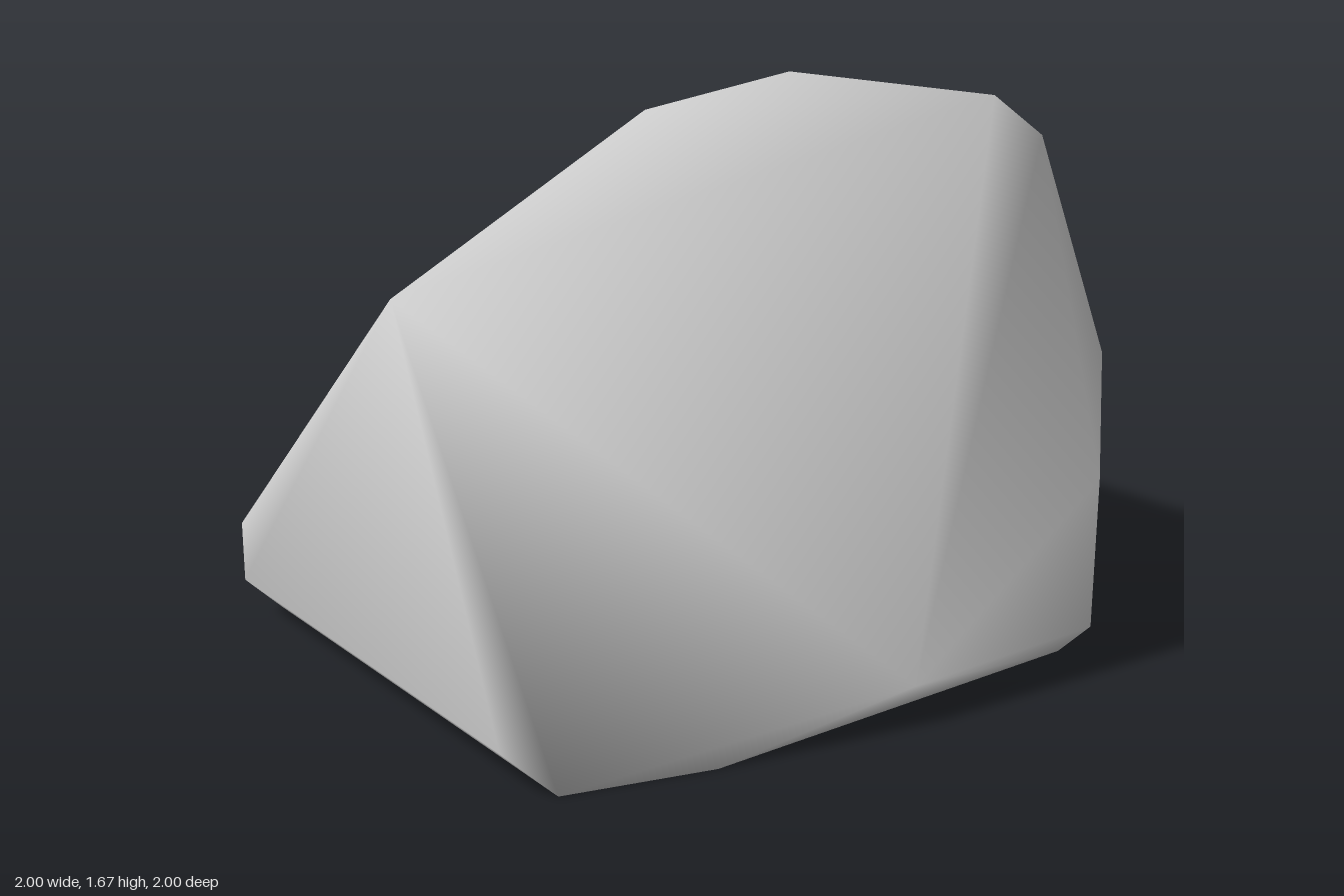
import * as THREE from 'three';
import { ConvexGeometry } from 'three/addons/geometries/ConvexGeometry.js';
import { mergeVertices } from 'three/addons/utils/BufferGeometryUtils.js';

const HALF = [1, 0.835, 1]; // half size of the block
const BEVEL = 0.12;

// Planes of a bevelled block: faces, edge chamfers and corner chamfers
function blockPlanes() {
  const planes = [];
  for (const x of [-1, 0, 1]) for (const y of [-1, 0, 1]) for (const z of [-1, 0, 1]) {
    const count = Math.abs(x) + Math.abs(y) + Math.abs(z);
    if (!count) continue;
    const reach = Math.abs(x) * HALF[0] + Math.abs(y) * HALF[1] + Math.abs(z) * HALF[2];
    planes.push({ n: new THREE.Vector3(x, y, z), d: reach + y * HALF[1] - BEVEL * (count - 1) });
  }
  return planes;
}

// Corner points of the solid enclosed by the planes (n . p <= d)
function solidCorners(planes) {
  const found = new Map();
  const m = new THREE.Matrix3();
  for (let i = 0; i < planes.length; i++)
    for (let j = i + 1; j < planes.length; j++)
      for (let k = j + 1; k < planes.length; k++) {
        const [a, b, c] = [planes[i], planes[j], planes[k]];
        m.set(a.n.x, a.n.y, a.n.z, b.n.x, b.n.y, b.n.z, c.n.x, c.n.y, c.n.z);
        if (Math.abs(m.determinant()) < 1e-6) continue;
        const p = new THREE.Vector3(a.d, b.d, c.d).applyMatrix3(m.invert());
        if (planes.some((q) => q.n.dot(p) > q.d + 1e-6)) continue;
        const key = p.toArray().map((v) => Math.round(v * 1e4)).join();
        if (!found.has(key)) found.set(key, p);
      }
  return [...found.values()];
}

export function createModel() {
  const group = new THREE.Group();
  group.name = 'boulder';

  const stone = new THREE.MeshStandardMaterial({ color: 0xcccccc });
  stone.name = 'stone grey';

  // Two slanted cuts slice the block and meet in a ridge at the front
  const planes = [
    ...blockPlanes(),
    { n: new THREE.Vector3(1, 0.45, 0.288), d: 1.01 },
    { n: new THREE.Vector3(-0.87, 1, 0.517), d: 1.595 },
  ];

  // Shared corners give smooth shading over the whole stone
  let geometry = new ConvexGeometry(solidCorners(planes));
  geometry.deleteAttribute('normal');
  geometry = mergeVertices(geometry, 1e-4);
  geometry.computeVertexNormals();

  const rock = new THREE.Mesh(geometry, stone);
  rock.name = 'rock';
  group.add(rock);
  return group;
}
